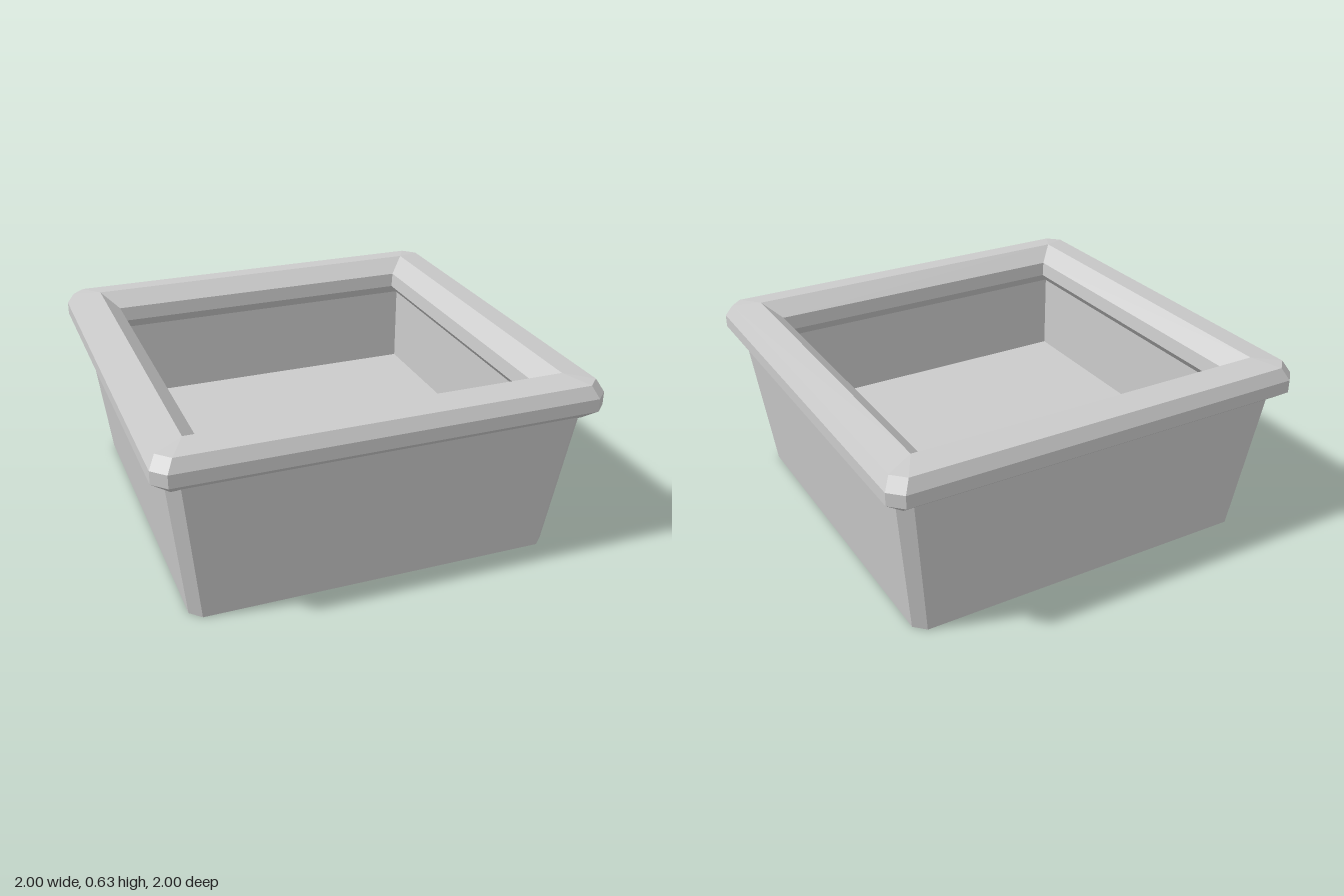
import * as THREE from 'three';

const TWIST = 0.03; // corner axis offset, also half the angle of a corner chamfer

// Eight points of a square turned on its corner; sharp corners merge in pairs.
function ring([r, y, sharp]) {
  const points = [];
  for (let k = 0; k < 4; k++) {
    for (const s of [-1, 1]) {
      const a = k * Math.PI / 2 + TWIST + (sharp ? 0 : s * TWIST);
      points.push(new THREE.Vector3(r * Math.sin(a), y, r * Math.cos(a)));
    }
  }
  return points;
}

// Skin a sequence of [radius, height, sharp] rings, skipping collapsed faces.
function loft(name, profile, material) {
  const rings = profile.map(ring);
  const positions = [];
  const tri = (a, b, c) => {
    const area = b.clone().sub(a).cross(c.clone().sub(a)).length();
    if (area > 1e-7) for (const p of [a, b, c]) positions.push(p.x, p.y, p.z);
  };
  for (let i = 0; i < rings.length - 1; i++) {
    for (let j = 0; j < 8; j++) {
      const n = (j + 1) % 8;
      tri(rings[i][j], rings[i][n], rings[i + 1][n]);
      tri(rings[i][j], rings[i + 1][n], rings[i + 1][j]);
    }
  }
  const geometry = new THREE.BufferGeometry();
  geometry.setAttribute('position', new THREE.Float32BufferAttribute(positions, 3));
  geometry.computeVertexNormals();
  const mesh = new THREE.Mesh(geometry, material);
  mesh.name = name;
  return mesh;
}

export function createModel() {
  const group = new THREE.Group();
  group.name = 'planterBox';
  const material = new THREE.MeshStandardMaterial({
    color: 0xcccccc, flatShading: true, side: THREE.DoubleSide,
  });

  // Thin tapered outer walls, open underneath
  group.add(loft('outerWalls', [
    [0.85, 0, false],
    [0.935, 0.505, false],
  ], material));

  // Upright inner box with a thick floor raised above the ground
  group.add(loft('innerBox', [
    [0, 0.085, true],
    [0.85, 0.085, true],
    [0.85, 0.5, true],
    [0.84, 0.5, true],
    [0.84, 0.205, true],
    [0, 0.205, true],
  ], material));

  // Bevelled rim: closed profile from the underside, round the outside, and back in
  group.add(loft('rim', [
    [0.83, 0.49, true],
    [0.945, 0.49, true],
    [1, 0.535, false],
    [1, 0.578, false],
    [0.97, 0.618, false],
    [0.868, 0.63, true],
    [0.785, 0.58, true],
    [0.778, 0.53, true],
    [0.83, 0.49, true],
  ], material));

  return group;
}
